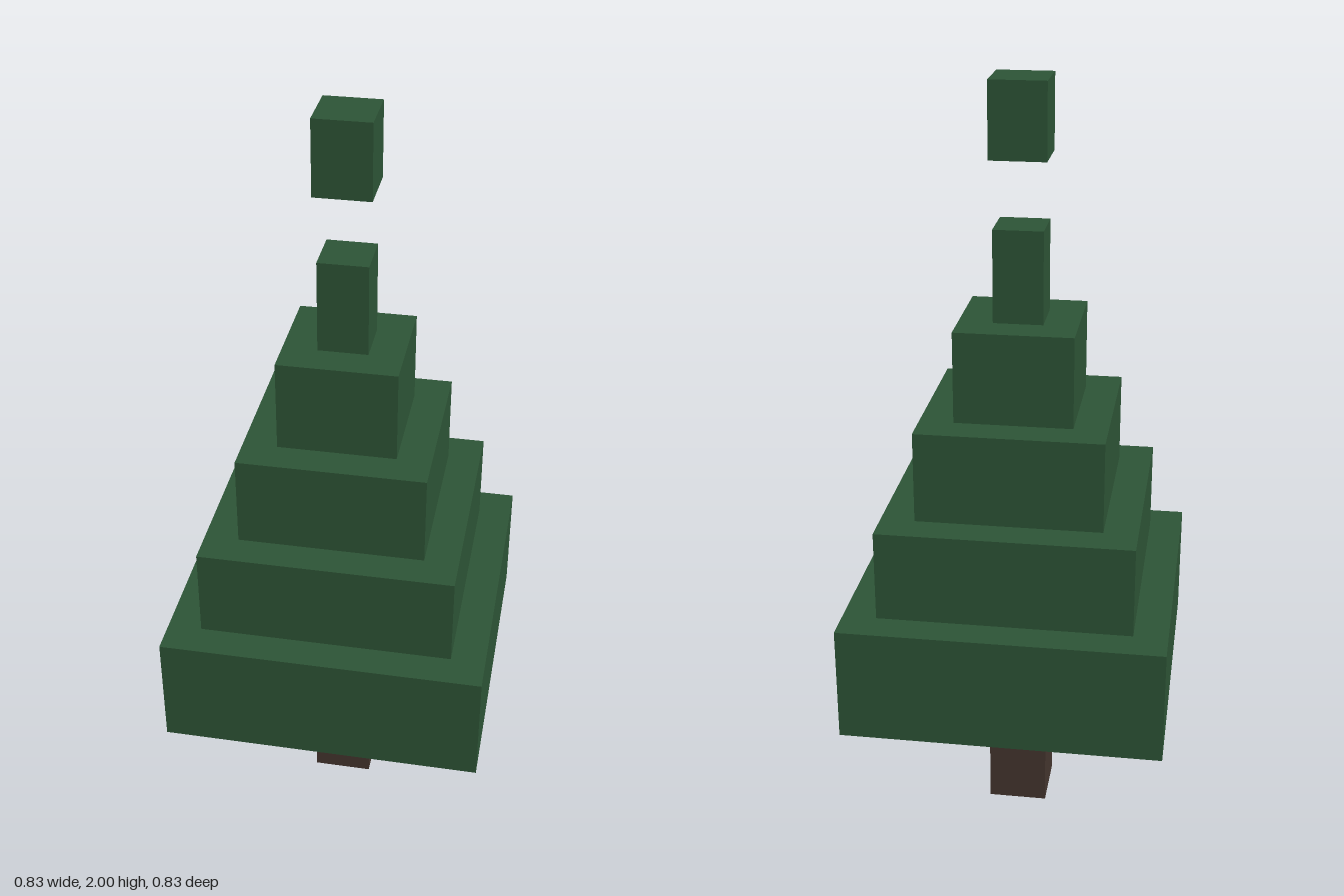
import * as THREE from 'three';

const mat = (name, color) => new THREE.MeshStandardMaterial({ name, color, side: THREE.DoubleSide });

// Square box without a bottom, standing on y = bottom
function openBox(name, width, bottom, top, material) {
  const geo = new THREE.BoxGeometry(width, top - bottom, width);
  // drop the six indices of the -y face (fourth side of the box)
  const index = Array.from(geo.index.array);
  index.splice(18, 6);
  geo.setIndex(index);
  geo.clearGroups();
  geo.translate(0, (top + bottom) / 2, 0);
  const mesh = new THREE.Mesh(geo, material);
  mesh.name = name;
  return mesh;
}

export function createModel() {
  const tree = new THREE.Group();
  tree.name = 'tree';
  const needles = mat('needleGreen', 0x2d5436);
  const bark = mat('barkBrown', 0x44352e);

  // Trunk, ending inside the lowest tier
  tree.add(openBox('trunk', 0.156, 0, 0.57, bark));

  // Five overlapping, hollow foliage tiers
  for (let i = 0; i < 5; i++) {
    const bottom = 0.389 + i * 0.2375;
    tree.add(openBox(`foliageTier${i + 1}`, 0.829 - i * 0.1755, bottom, bottom + 0.301, needles));
  }

  // Floating tip
  tree.add(openBox('treeTip', 0.143, 1.81, 2, needles));
  return tree;
}
